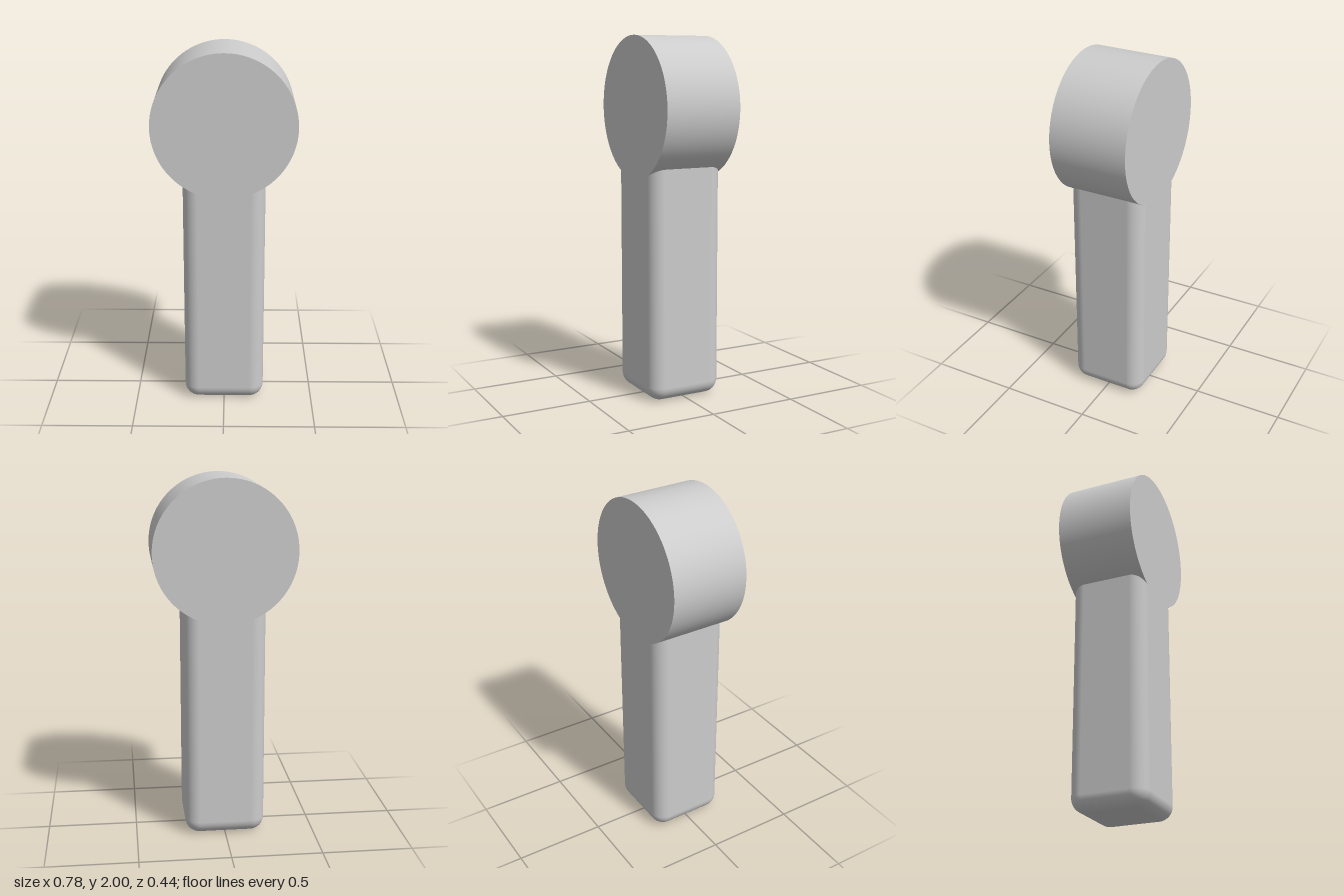
import * as THREE from 'three';
import { RoundedBoxGeometry } from 'three/addons/geometries/RoundedBoxGeometry.js';

const DEPTH = 0.436;
const HEAD_RADIUS = 0.39;
const SHAFT_WIDTH = 0.448;
const SHAFT_HEIGHT = 1.5;

export function createModel() {
  const model = new THREE.Group();
  model.name = 'roundHeadedPeg';

  const grey = new THREE.MeshStandardMaterial({ color: 0xcccccc });
  grey.name = 'light grey';

  // Round head: a drum with its flat faces to the front and back
  const head = new THREE.Mesh(
    new THREE.CylinderGeometry(HEAD_RADIUS, HEAD_RADIUS, DEPTH, 96).rotateX(Math.PI / 2),
    grey
  );
  head.name = 'head';
  head.position.y = 2 - HEAD_RADIUS;

  // Shaft: a rounded bar whose top end is buried in the head
  const shaft = new THREE.Mesh(
    new RoundedBoxGeometry(SHAFT_WIDTH, SHAFT_HEIGHT, DEPTH, 8, 0.08),
    grey
  );
  shaft.name = 'shaft';
  shaft.position.y = SHAFT_HEIGHT / 2;

  model.add(head, shaft);
  return model;
}
